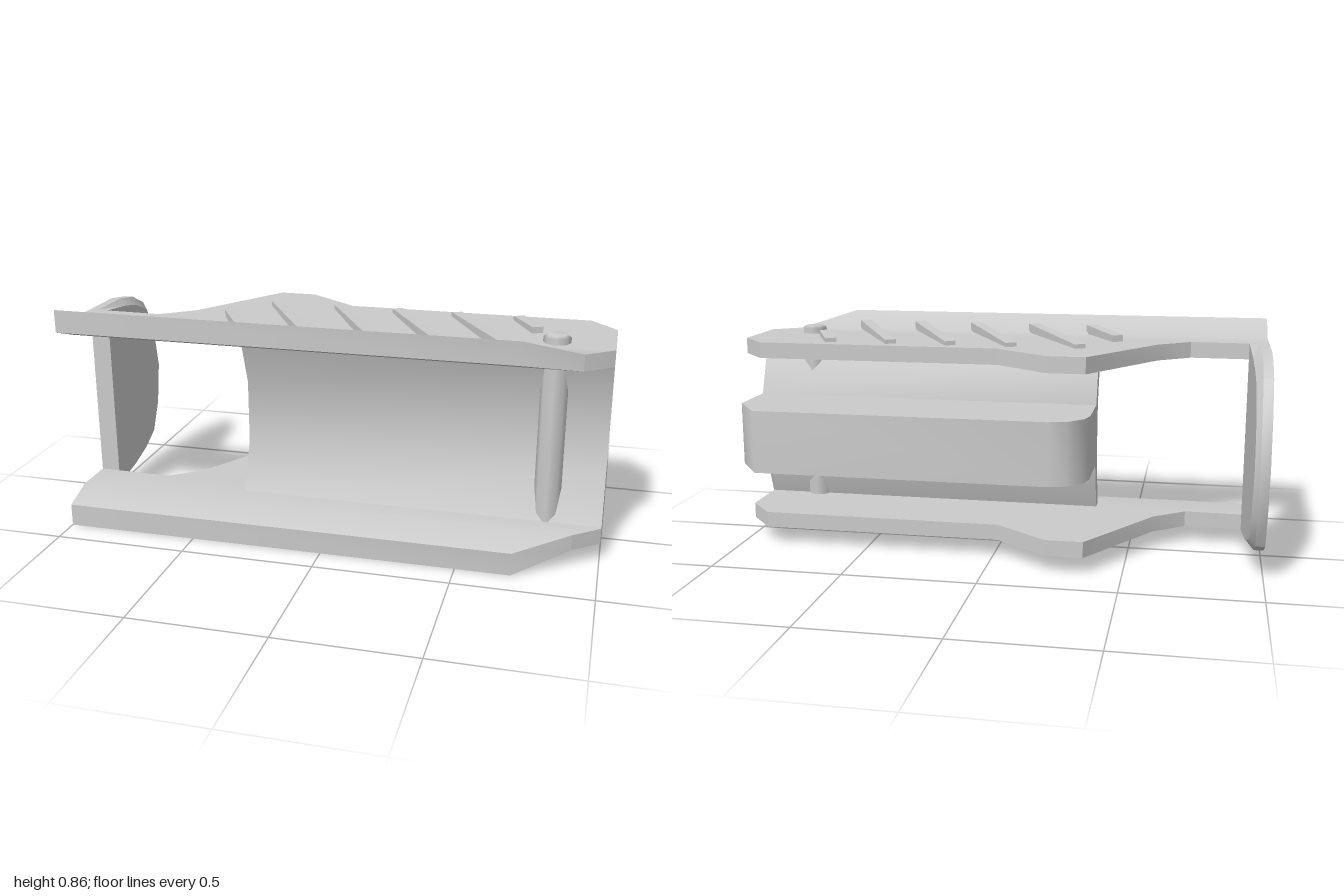
import * as THREE from 'three';
import { mergeGeometries, toCreasedNormals } from 'three/addons/utils/BufferGeometryUtils.js';

const MID = 0.435; // height of the mirror plane between the two plates

export function createModel() {
  const group = new THREE.Group();
  const material = new THREE.MeshStandardMaterial({ color: 0xcccccc });
  const add = (name, geometry) => {
    const mesh = new THREE.Mesh(geometry, material);
    mesh.name = name;
    group.add(mesh);
    return mesh;
  };
  const extrude = (points, depth) => new THREE.ExtrudeGeometry(
    new THREE.Shape(points.map(([a, b]) => new THREE.Vector2(a, b))),
    { depth, bevelEnabled: false });
  // outline in (x, z), thickness in y starting at y0
  const slab = (outline, y0, height) =>
    extrude(outline.map(([x, z]) => [x, -z]), height).rotateX(-Math.PI / 2).translate(0, y0, 0);
  // section in (z, y), length along x starting at x0
  const bar = (section, x0, length) =>
    extrude(section.map(([z, y]) => [-z, y]), length).rotateY(Math.PI / 2).translate(x0, 0, 0);
  const warp = (geometry, rule) => {
    const p = geometry.attributes.position;
    const v = new THREE.Vector3();
    for (let i = 0; i < p.count; i++) {
      rule(v.fromBufferAttribute(p, i));
      p.setXYZ(i, v.x, v.y, v.z);
    }
    geometry.computeVertexNormals();
    return geometry;
  };

  // Upper and lower plates, each with an outward-flared front lip
  const flat = [[-1, 0.27], [0.9, 0.27], [1, 0.19], [1, -0.08], [0.9, -0.195], [-0.02, -0.195],
    [-0.22, -0.345], [-0.36, -0.345], [-0.59, 0.02], [-0.71, 0.115], [-1, 0.11]];
  const lip = [[-1, 0.27], [-1, 0.39], [0.7, 0.39], [0.9, 0.27]];
  // Slanted ribs as [rear x, rear z, front x, front z]
  const ribs = [
    [-0.435, 0.07, -0.31, 0.3], [-0.315, -0.135, -0.075, 0.3], [-0.06, -0.14, 0.165, 0.3],
    [0.17, -0.14, 0.4, 0.3], [0.4, -0.14, 0.635, 0.3], [0.635, -0.14, 0.72, 0.035],
  ];
  for (const s of [1, -1]) {
    const side = s > 0 ? 'upper' : 'lower';
    const flare = warp(slab(lip, -0.03, 0.06), (v) => {
      const t = Math.max(0, (v.z - 0.27) / 0.12);
      v.y += s * t * (v.y * s > 0 ? 0.065 : 0.04);
    });
    const plate = mergeGeometries([slab(flat, -0.03, 0.06), flare]);
    plate.translate(0, MID + s * 0.335, 0);
    add(side + 'Plate', toCreasedNormals(plate, 0.6));

    ribs.forEach(([x0, z0, x1, z1], i) => {
      const length = Math.hypot(x1 - x0, z1 - z0);
      const rib = new THREE.BoxGeometry(0.042, 0.05, length);
      rib.rotateY(Math.atan2(x1 - x0, z1 - z0)).translate((x0 + x1) / 2, 0, (z0 + z1) / 2);
      // the outer face rises gently towards the front
      warp(rib, (v) => {
        const outer = v.y * s > 0;
        v.y = MID + s * (outer ? 0.387 + 0.044 * v.z : 0.335);
      });
      add(side + 'Rib' + (i + 1), rib);
    });
  }

  // Dished web joining the plates
  const web = [[0.18, 0.13], [0.11, 0.315], [0.11, 0.555], [0.18, 0.74],
    [0.12, 0.74], [0.05, 0.555], [0.05, 0.315], [0.12, 0.13]];
  add('web', toCreasedNormals(bar(web, -0.36, 1.36), 0.6));

  // Rear spine with softened ends
  const spine = [[-0.36, 0.08], [-0.36, -0.16], [-0.345, -0.22], [-0.29, -0.28], [-0.22, -0.298],
    [0.9, -0.298], [1, -0.16], [1, 0.08]];
  add('spine', toCreasedNormals(slab(spine, 0.315, 0.24), 1));

  // End wall with a rounded rear edge, bevelled on the inside
  const upperHalf = [[0.11, 0.365], [-0.08, 0.365], [-0.2, 0.345], [-0.295, 0.3], [-0.36, 0.175], [-0.393, 0]];
  const lowerHalf = upperHalf.slice(0, -1).reverse().map(([z, y]) => [z, -y]);
  const outline = [...upperHalf, ...lowerHalf].map(([z, y]) => [z, MID + y]);
  const ring = (x, inset) => outline.map(([z, y]) => {
    const k = inset * Math.min(1, Math.max(0, (0.1 - z) / 0.25));
    return new THREE.Vector3(x - 0.02 * (0.11 - z) * (inset ? 2 : 0),
      MID + (y - MID) * (1 - k), z + k * 0.15);
  });
  const rings = [ring(-1, 0), ring(-0.965, 0), ring(-0.927, 0.09)];
  const n = outline.length;
  const verts = [];
  const tri = (...c) => c.forEach((v) => verts.push(v.x, v.y, v.z));
  for (let r = 0; r < 2; r++) {
    for (let i = 0; i < n; i++) {
      const j = (i + 1) % n;
      const [a, b, c, d] = [rings[r][i], rings[r][j], rings[r + 1][j], rings[r + 1][i]];
      tri(a, c, b);
      tri(a, d, c);
    }
  }
  for (let i = 1; i < n - 1; i++) {
    tri(rings[0][0], rings[0][i], rings[0][i + 1]);
    tri(rings[2][0], rings[2][i + 1], rings[2][i]);
  }
  const wall = new THREE.BufferGeometry();
  wall.setAttribute('position', new THREE.Float32BufferAttribute(verts, 3));
  const wallMesh = add('endWall', toCreasedNormals(wall, 0.6));
  wallMesh.material = material.clone();
  wallMesh.material.side = THREE.DoubleSide;

  // Pin running through both plates
  const pin = new THREE.LatheGeometry([[0, -0.395], [0.035, -0.395], [0.049, -0.385],
    [0.049, 0.385], [0.035, 0.395], [0, 0.395]].map(([r, y]) => new THREE.Vector2(r, y)), 8);
  add('pin', pin.translate(0.797, MID, 0.135));

  return group;
}
